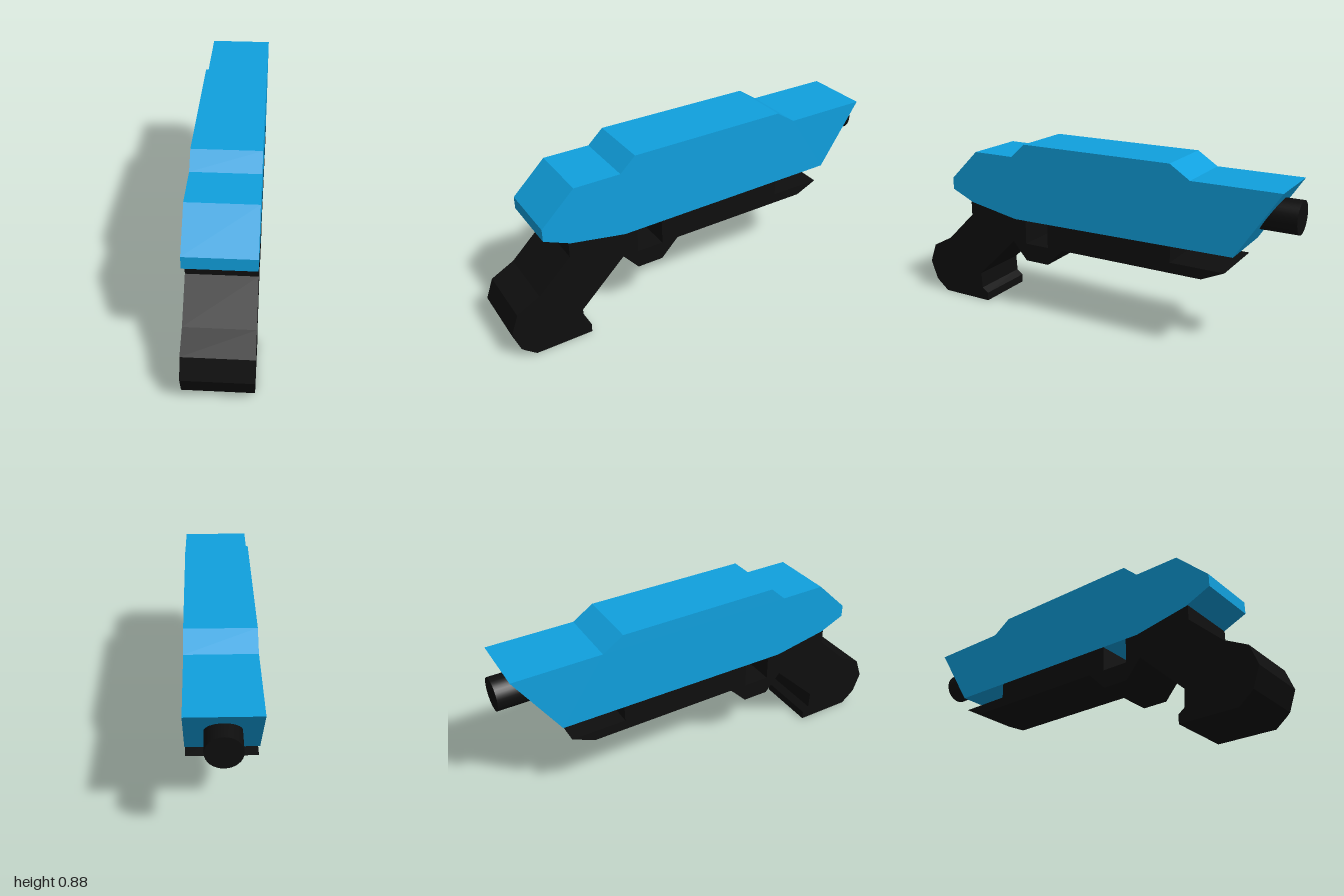
import * as THREE from 'three';

const WIDTH = 0.314;
const blue = new THREE.MeshStandardMaterial({ color: 0x10a0de });
const black = new THREE.MeshStandardMaterial({ color: 0x0e0e0e });

// Extrudes a side profile of [z, y] points across the width of the model
function slab(name, profile, material) {
  const shape = new THREE.Shape(profile.map(([z, y]) => new THREE.Vector2(z, y)));
  const geometry = new THREE.ExtrudeGeometry(shape, { depth: WIDTH, bevelEnabled: false });
  geometry.translate(0, 0, -WIDTH / 2);
  geometry.rotateY(-Math.PI / 2);
  const mesh = new THREE.Mesh(geometry, material);
  mesh.name = name;
  return mesh;
}

export function createModel() {
  const model = new THREE.Group();
  model.name = 'toyBlaster';

  // Upper shell with raised centre and slanted muzzle face
  model.add(slab('upperShell', [
    [0.805, 0.595], [0.805, 0.655], [0.645, 0.81], [0.42, 0.81], [0.345, 0.88],
    [-0.44, 0.88], [-0.54, 0.815], [-0.957, 0.815], [-0.755, 0.5],
    [0.41, 0.49], [0.68, 0.54],
  ], blue));

  // Grip, trigger guard and under-barrel rail; the guard opening meets the shell
  model.add(slab('gripFrame', [
    [0.69, 0.542], [0.69, 0.47], [0.85, 0.315], [0.963, 0.255], [1, 0.155],
    [0.965, 0.06], [0.95, 0.045], [0.895, 0], [0.612, 0], [0.612, 0.043],
    [0.645, 0.068], [0.65, 0.15], [0.425, 0.37], [0.347, 0.28], [0.217, 0.28],
    [0.13, 0.37], [-0.61, 0.37], [-0.72, 0.42], [-0.455, 0.42], [-0.455, 0.497],
    [0.215, 0.492], [0.215, 0.37], [0.347, 0.37], [0.347, 0.491], [0.41, 0.49], [0.68, 0.54],
  ], black));

  // Round barrel, set into the slanted face
  const barrel = new THREE.Mesh(new THREE.CylinderGeometry(0.077, 0.077, 0.24, 32), black);
  barrel.name = 'barrel';
  barrel.rotation.x = Math.PI / 2;
  barrel.position.set(0, 0.678, -0.88);
  model.add(barrel);

  return model;
}
